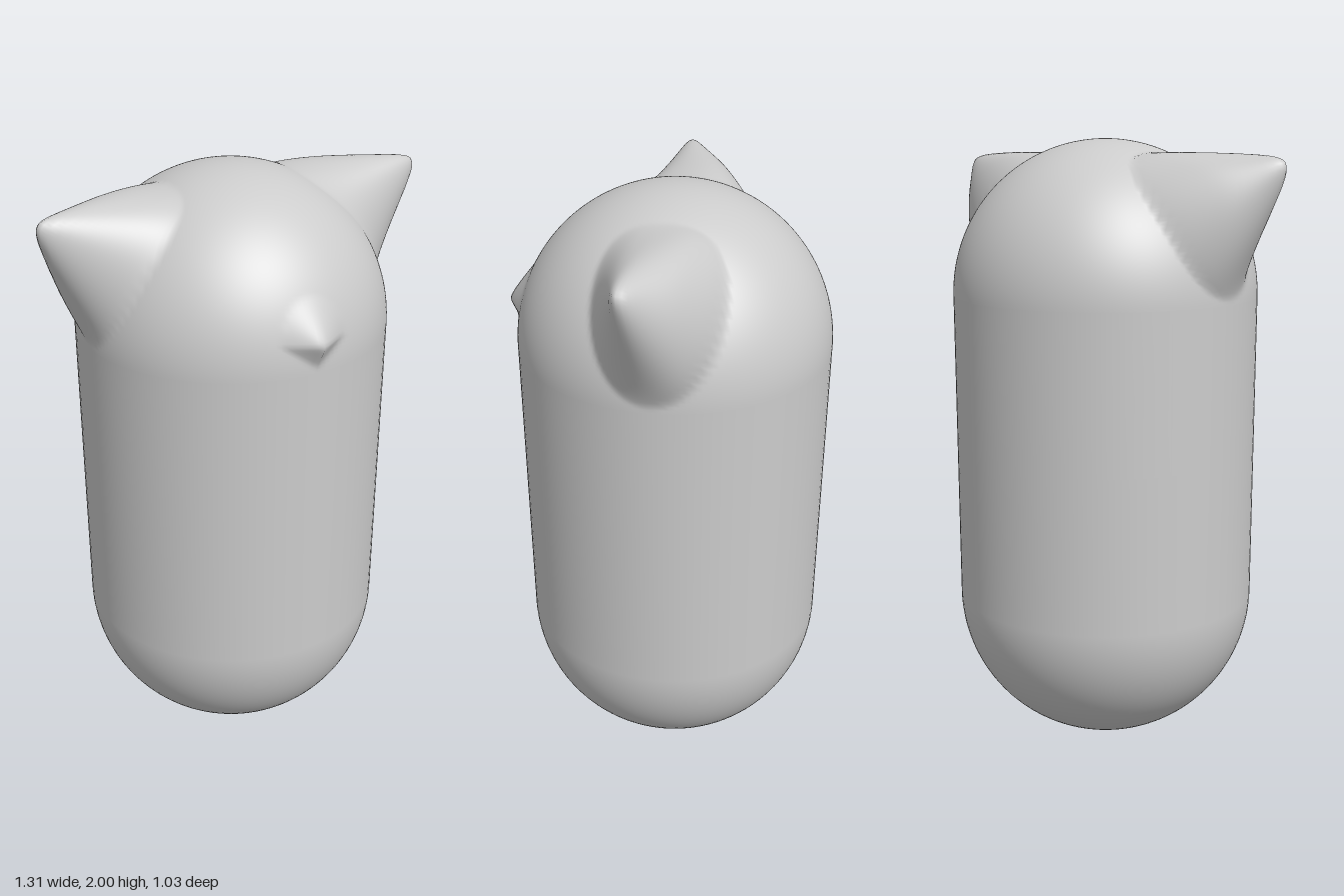
import * as THREE from 'three';
import { mergeVertices } from 'three/addons/utils/BufferGeometryUtils.js';

const R = 0.497;        // capsule radius
const SEAM = 1.503;     // height where the head meets the body
const CENTRE_Z = -0.018;

// Cone-like falloff: rounded tip at t = 0, soft foot at t = 1
function peak(t, power) {
  const s = (1 - Math.hypot(t, 0.12)) / 0.88;
  return s > 0 ? Math.pow(s, power) : 0;
}

// How strongly a point on the unit dome belongs to an ear
function earWeight(d) {
  const up = Math.asin(Math.min(1, d.y)) - 0.61;
  const side = Math.asin(THREE.MathUtils.clamp(d.z, -1, 1));
  const t = Math.hypot(up / (up > 0 ? 0.55 : 0.58), side / (side > 0 ? 0.38 : 0.42));
  // the back of the ear is fuller than the front
  const power = 0.9 + 0.45 * THREE.MathUtils.smoothstep(side, -0.25, 0.1);
  return peak(t, power);
}

// Small muzzle: rounded above, V-shaped below
function noseWeight(p) {
  const x = Math.abs(p.x) / 0.11;
  const y = p.y - 0.095;
  const t = y > 0 ? Math.hypot(x, y / 0.13) : x - y / 0.08;
  return peak(t, 1.2);
}

// Dome with two ears and a nose drawn out of its surface
function headGeometry() {
  let geo = new THREE.SphereGeometry(R, 192, 72, 0, Math.PI * 2, 0, Math.PI / 2);
  geo.deleteAttribute('uv');
  geo.deleteAttribute('normal');
  geo = mergeVertices(geo, 1e-5);
  const pos = geo.attributes.position;
  const p = new THREE.Vector3();
  const d = new THREE.Vector3();
  for (let i = 0; i < pos.count; i++) {
    p.fromBufferAttribute(pos, i);
    d.copy(p).normalize();
    const ear = earWeight(d);
    const nose = p.z > 0 ? noseWeight(p) : 0;
    p.x += Math.sign(p.x) * 0.242 * ear;
    p.y += 0.14 * ear;
    p.z += 0.048 * ear + 0.045 * nose;
    pos.setXYZ(i, p.x, p.y, p.z);
  }
  geo.computeVertexNormals();
  return geo;
}

// Straight tube closed by a round bottom
function bodyGeometry() {
  const profile = [];
  const steps = 32;
  for (let i = 0; i <= steps; i++) {
    const a = (i / steps) * Math.PI / 2;
    profile.push(new THREE.Vector2(R * Math.sin(a), R - R * Math.cos(a)));
  }
  profile.push(new THREE.Vector2(R, 1.0), new THREE.Vector2(R, SEAM));
  return new THREE.LatheGeometry(profile, 96);
}

export function createModel() {
  const model = new THREE.Group();
  model.name = 'earedCapsule';
  const material = new THREE.MeshStandardMaterial({ color: 0xcccccc, side: THREE.DoubleSide });

  const body = new THREE.Mesh(bodyGeometry(), material);
  body.name = 'body';
  body.position.z = CENTRE_Z;

  const head = new THREE.Mesh(headGeometry(), material);
  head.name = 'head';
  head.position.set(0, SEAM, CENTRE_Z);

  model.add(body, head);
  return model;
}
